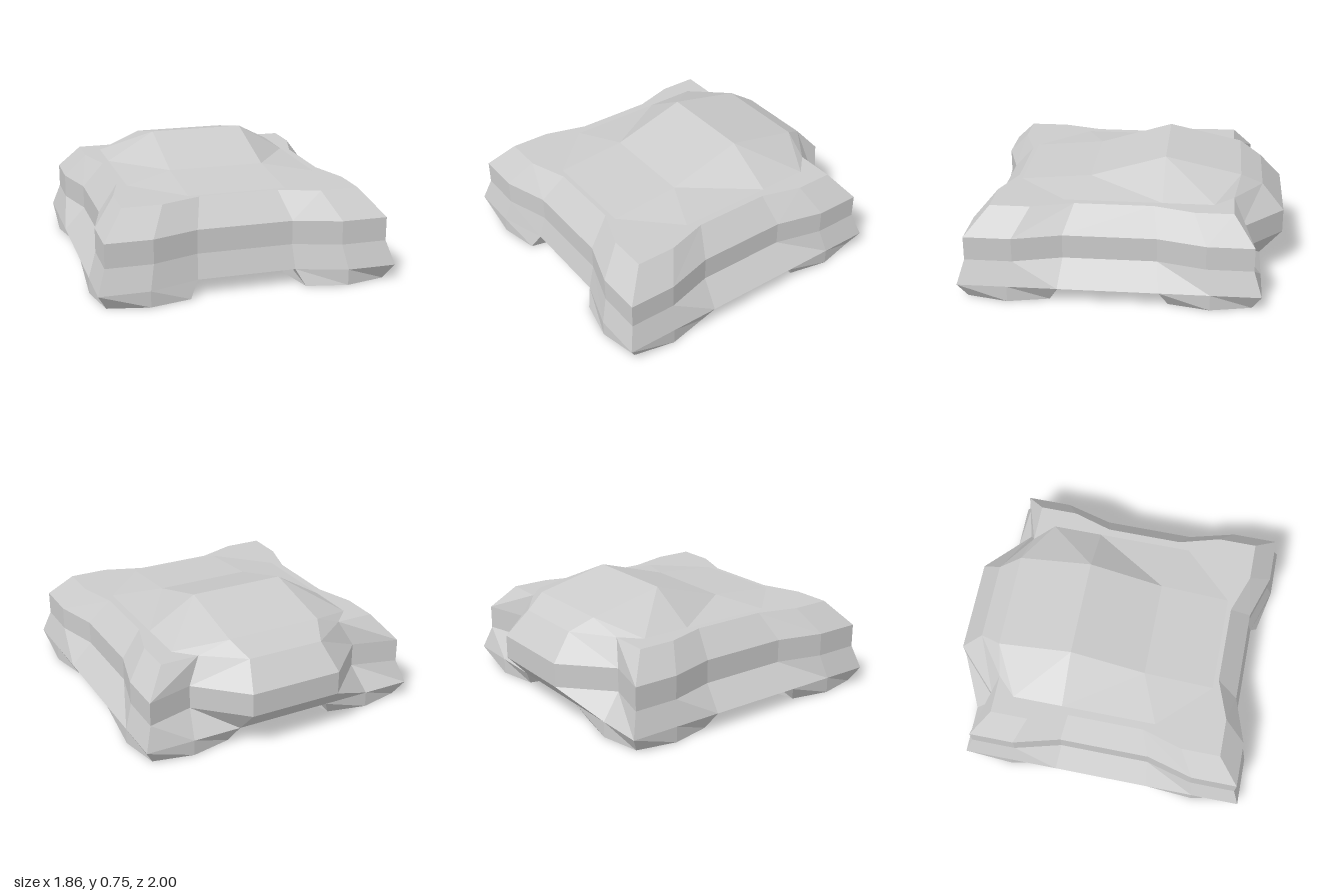
import * as THREE from 'three';

const material = new THREE.MeshStandardMaterial({ color: 0xcccccc, flatShading: true });

function meshFrom(name, triangles) {
  const geometry = new THREE.BufferGeometry();
  geometry.setAttribute('position', new THREE.Float32BufferAttribute(triangles.flat(2), 3));
  geometry.computeVertexNormals();
  const mesh = new THREE.Mesh(geometry, material);
  mesh.name = name;
  return mesh;
}

// Closed ring at height y: the given left half runs front to back, then is mirrored.
function ringAt(y, half) {
  const left = half.map(([x, z]) => [x, y, z]);
  const right = half.map(([x, z]) => [-x, y, z]).reverse();
  return [...left, ...right];
}

// Wall between a lower and an upper ring; flip(i) picks the other diagonal.
function wall(lower, upper, flip = () => false) {
  const triangles = [];
  lower.forEach((a0, i) => {
    const j = (i + 1) % lower.length;
    const a1 = lower[j], b0 = upper[i], b1 = upper[j];
    if (flip(i)) triangles.push([a0, a1, b1], [a0, b1, b0]);
    else triangles.push([a0, a1, b0], [a1, b1, b0]);
  });
  return triangles;
}

// Flat cap over a ring, facing up or down.
function cap(ring, up) {
  const outline = ring.map(([x, , z]) => new THREE.Vector2(x, -z));
  return THREE.ShapeUtils.triangulateShape(outline, [])
    .map(([a, b, c]) => (up ? [ring[a], ring[b], ring[c]] : [ring[a], ring[c], ring[b]]));
}

// Hull: four stacked outlines with a pinched waist and a bulging tail.
function createBody() {
  const base = [[0.31, 0.9], [0.62, 1], [0.93, 1], [0.93, 0.69], [0.93, 0.38],
    [0.93, -0.24], [0.93, -0.55], [0.93, -0.86], [0.62, -0.86], [0.31, -0.86]];
  const belt = [[0.3, 0.86], [0.59, 0.955], [0.88, 0.955], [0.88, 0.66], [0.8, 0.36],
    [0.8, -0.22], [0.88, -0.52], [0.88, -0.81], [0.585, -0.73], [0.3, -1]];
  const deck = [[0.25, 0.72], [0.5, 0.81], [0.745, 0.81], [0.745, 0.56], [0.67, 0.3],
    [0.67, -0.19], [0.745, -0.44], [0.745, -0.68], [0.5, -0.68], [0.25, -0.86]];
  const rings = [ringAt(0.1, base), ringAt(0.25, belt), ringAt(0.4, belt), ringAt(0.56, deck)];
  return meshFrom('body', [
    ...cap(rings[0], false),
    ...wall(rings[0], rings[1]),
    ...wall(rings[1], rings[2]),
    ...wall(rings[2], rings[3], (i) => i < 10),
    ...cap(rings[3], true),
  ]);
}

// Cabin: strips from front to back, a flat-topped spine with sloping sides.
function createCabin() {
  const spine = [[0.31, 0.56, 0.69], [0.31, 0.6, 0.24], [0.31, 0.745, -0.24],
    [0.31, 0.64, -0.72], [0.25, 0.56, -0.86]];
  const edge = [[0.62, 0.56, 0.69], [0.62, 0.56, 0.37], [0.62, 0.56, -0.24],
    [0.62, 0.56, -0.56], [0.5, 0.56, -0.68]];
  const mirror = ([x, y, z]) => [-x, y, z];
  const triangles = [];
  for (let i = 0; i < spine.length - 1; i++) {
    const s0 = spine[i], s1 = spine[i + 1], e0 = edge[i], e1 = edge[i + 1];
    const side = [[s0, e0, e1], [s0, e1, s1]];
    triangles.push([mirror(s0), s0, s1], [mirror(s0), s1, mirror(s1)], ...side);
    side.forEach(([a, b, c]) => triangles.push([mirror(a), mirror(c), mirror(b)]));
  }
  return meshFrom('cabin', triangles);
}

// Wheel pad: square where it meets the hull, rounded to an octagon on the ground.
function createWheel(name, side, centreZ) {
  const steps = [[0, 1], [1, 1], [1, 0], [1, -1], [0, -1], [-1, -1], [-1, 0], [-1, 1]];
  const top = [], bottom = [];
  for (const [u, v] of steps) {
    const k = u && v ? 0.255 : 0.31;
    let z = centreZ + v * 0.31;
    if (u < 0 && v > 0 && centreZ > 0) z = 0.9; // follows the hull's recessed nose
    top.push([side * (0.62 + u * 0.31), 0.1, z]);
    bottom.push([side * (0.62 + u * k), 0, centreZ + v * k]);
  }
  if (side < 0) { top.reverse(); bottom.reverse(); }
  return meshFrom(name, [...wall(bottom, top), ...cap(bottom, false)]);
}

export function createModel() {
  const group = new THREE.Group();
  group.name = 'car';
  group.add(createBody(), createCabin());
  for (const [label, side] of [['Left', 1], ['Right', -1]]) {
    group.add(createWheel(`front${label}Wheel`, side, 0.69));
    group.add(createWheel(`back${label}Wheel`, side, -0.55));
  }
  return group;
}
